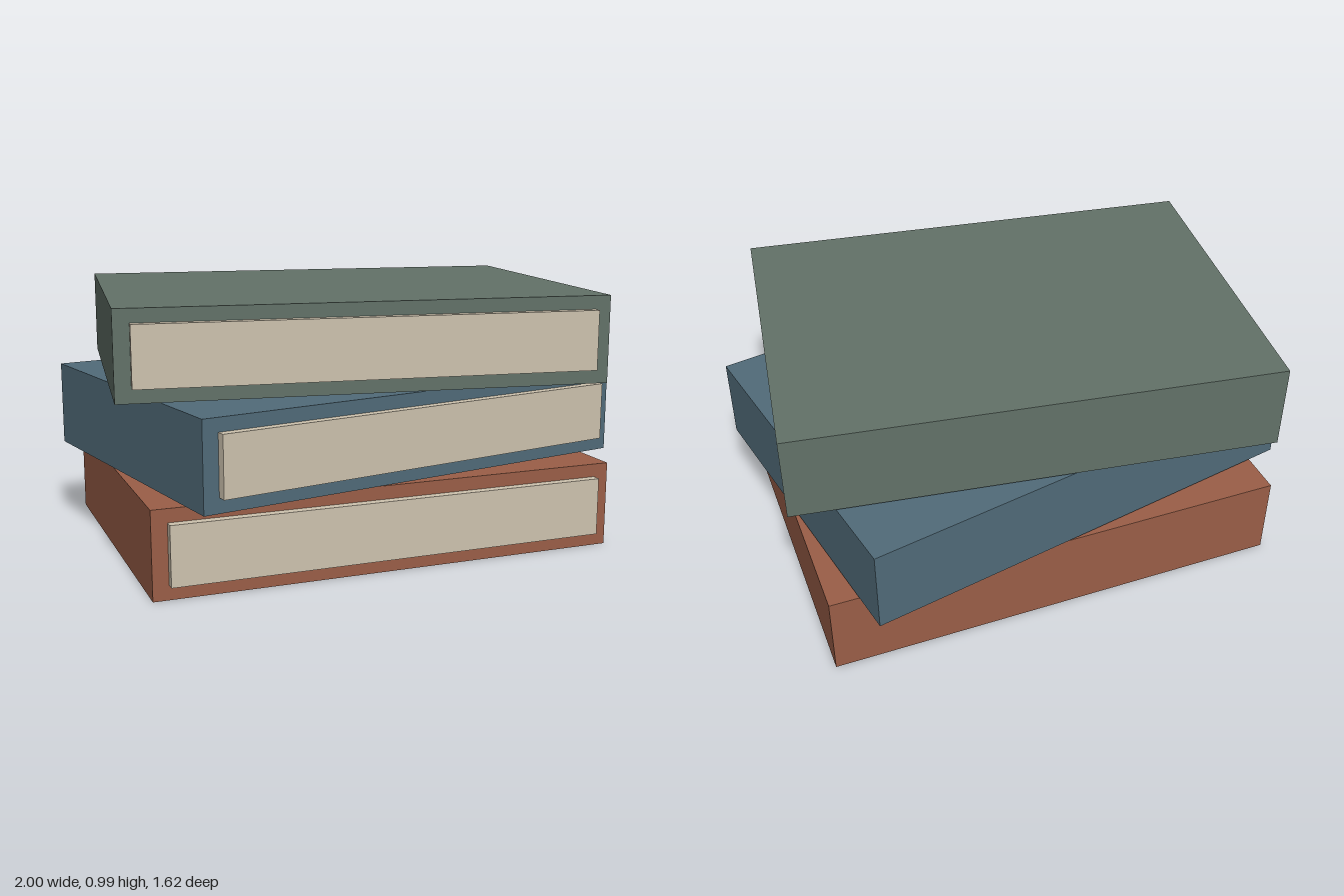
import * as THREE from 'three';

const WIDTH = 1.79, HEIGHT = 0.324, DEPTH = 1.28, STEP = 0.332;

function material(name, color) {
  const m = new THREE.MeshStandardMaterial({ color });
  m.name = name;
  return m;
}

function box(name, w, h, d, mat, y, z) {
  const mesh = new THREE.Mesh(new THREE.BoxGeometry(w, h, d), mat);
  mesh.name = name;
  mesh.position.set(0, y, z);
  return mesh;
}

export function createModel() {
  const model = new THREE.Group();
  model.name = 'bookStack';
  const paper = material('cream paper', 0xcdc2ae);

  // Three equal books, each turned a little about the stack's axis
  const books = [
    { name: 'bottomBook', mat: material('rust cover', 0x9a5e47), turn: 0 },
    { name: 'middleBook', mat: material('slate blue cover', 0x516b79), turn: 0.195 },
    { name: 'topBook', mat: material('sage green cover', 0x627168), turn: -0.14 },
  ];
  books.forEach(({ name, mat, turn }, i) => {
    const book = new THREE.Group();
    book.name = name;
    book.add(box('cover', WIDTH, HEIGHT, DEPTH, mat, HEIGHT / 2, 0));
    // Page block standing slightly proud of the front
    book.add(box('pages', 1.675, 0.22, 0.06, paper, HEIGHT / 2 + 0.002, DEPTH / 2 + 0.004));
    book.position.set(0, i * STEP, -0.015);
    book.rotation.y = turn;
    model.add(book);
  });
  return model;
}
